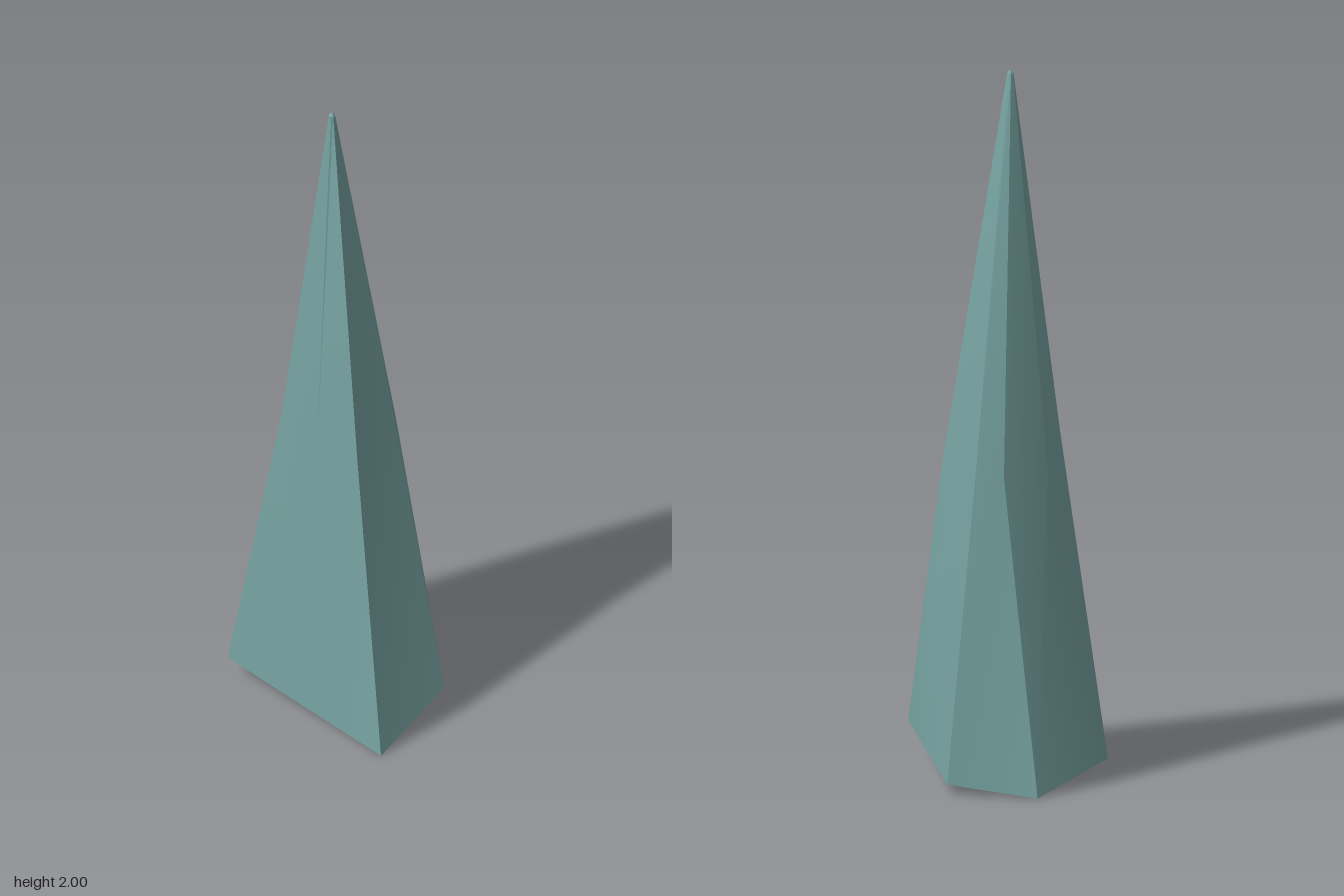
import * as THREE from 'three';
import { toCreasedNormals } from 'three/addons/utils/BufferGeometryUtils.js';

export function createModel() {
  const group = new THREE.Group();
  group.name = 'rockSpike';

  // Columns run counterclockwise from the front, seen from above
  const base = [
    [0, 0, 0.33], [0.235, 0.10, 0.235], [0.235, 0.065, 0], [0.235, 0.03, -0.235],
    [0, 0, -0.33], [-0.235, 0.065, -0.18], [-0.157, 0.043, -0.01], [-0.08, 0.022, 0.157],
  ];
  const middle = [
    [0, 0.92, 0.17], [0.14, 1.0, 0.095], [0.195, 0.88, 0], [0.14, 0.92, -0.185],
    [0.065, 0.885, -0.2], [-0.075, 0.88, -0.14], [-0.13, 0.98, -0.045], [-0.075, 0.95, 0.07],
  ];
  const n = base.length;

  // Small blunt tip
  const tip = base.map((_, i) => {
    const a = (i / n) * Math.PI * 2;
    return [0.009 * Math.sin(a), 1.99, 0.009 * Math.cos(a)];
  });
  const rings = [base, middle, tip];
  const points = [...rings.flat(), [0, 0.045, 0], [0, 2, 0]];
  const under = 3 * n, top = under + 1;

  const index = [];
  for (let i = 0; i < n; i++) {
    const j = (i + 1) % n;
    // Side walls
    for (let r = 0; r < rings.length - 1; r++) {
      const a = r * n + i, b = r * n + j;
      index.push(a, b, b + n, a, b + n, a + n);
    }
    // Hollowed underside and tip cap
    index.push(under, j, i, top, 2 * n + i, 2 * n + j);
  }

  const geometry = new THREE.BufferGeometry();
  geometry.setAttribute('position', new THREE.Float32BufferAttribute(points.flat(), 3));
  geometry.setIndex(index);

  const spike = new THREE.Mesh(
    toCreasedNormals(geometry, 0.5),
    new THREE.MeshStandardMaterial({ color: 0x76a3a1 })
  );
  spike.name = 'spike';
  group.add(spike);
  return group;
}
